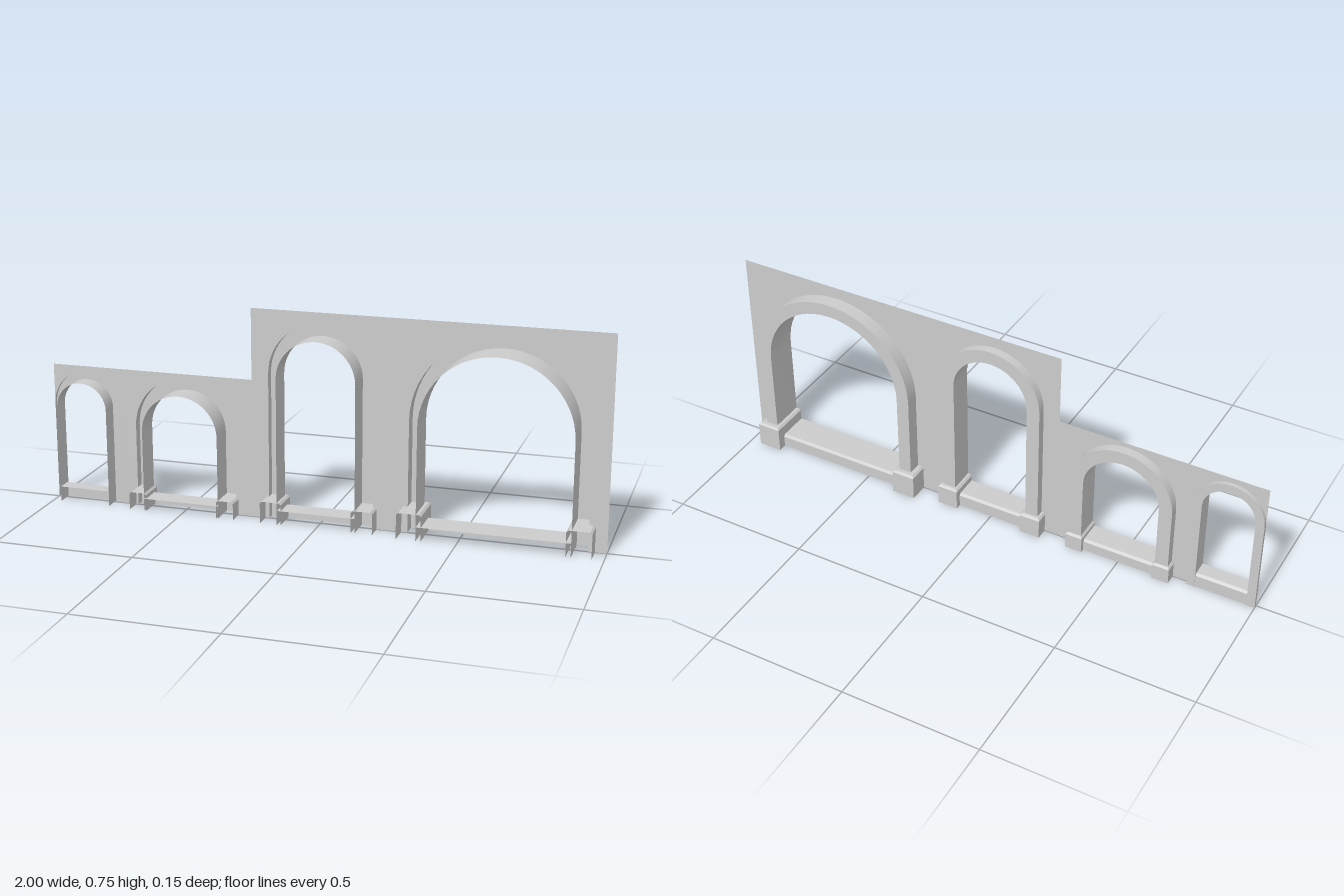
import * as THREE from 'three';
import { mergeVertices } from 'three/addons/utils/BufferGeometryUtils.js';

const stone = new THREE.MeshStandardMaterial({ color: 0xcccccc, side: THREE.DoubleSide });
stone.name = 'pale grey stone';

// Arches: centre x, spring height, opening and trim radii, trim depth, reveal front,
// sill height, and plinth (height, back depth, outer and inner overhang)
const ARCHES = [
  { x: -0.875, y: 0.355, r: 0.094, R: 0.125, back: 0.013, front: 0.05, sill: 0.055 },
  { x: -0.5, y: 0.295, r: 0.14, R: 0.188, back: 0.033, front: 0.06, sill: 0.045,
    plinth: { h: 0.065, back: 0.042, out: 0.008, inn: 0.007 } },
  { x: 0, y: 0.526, r: 0.141, R: 0.189, back: 0.031, front: 0.062, sill: 0.052,
    plinth: { h: 0.08, back: 0.046, out: 0.014, inn: 0.014 } },
  { x: 0.625, y: 0.4, r: 0.265, R: 0.312, back: 0.051, front: 0.075, sill: 0.05,
    plinth: { h: 0.095, back: 0.072, out: 0.022, inn: 0.018 } },
];

function mesh(geometry, name) {
  const m = new THREE.Mesh(geometry, stone);
  m.name = name;
  return m;
}

// Surface through rows of [x, y, z] points
function sheet(rows, smooth = false) {
  const pos = [];
  for (let i = 0; i < rows.length - 1; i++) {
    for (let j = 0; j < rows[i].length - 1; j++) {
      const a = rows[i][j], b = rows[i][j + 1], c = rows[i + 1][j + 1], d = rows[i + 1][j];
      pos.push(...a, ...b, ...c, ...a, ...c, ...d);
    }
  }
  let g = new THREE.BufferGeometry();
  g.setAttribute('position', new THREE.Float32BufferAttribute(pos, 3));
  if (smooth) g = mergeVertices(g, 1e-5);
  g.computeVertexNormals();
  return g;
}

// Arch outline from left foot to right foot
function archPoints(x, y, r, n = 28) {
  const pts = [new THREE.Vector2(x - r, 0)];
  for (let i = 0; i <= n; i++) {
    const t = Math.PI * (1 - i / n);
    pts.push(new THREE.Vector2(x + r * Math.cos(t), y + r * Math.sin(t)));
  }
  pts.push(new THREE.Vector2(x + r, 0));
  return pts;
}

function archRibbon(pts, z0, z1) {
  return sheet([z0, z1].map((z) => pts.map((p) => [p.x, p.y, z])), true);
}

// Open-fronted pier foot with a chamfered top
function plinth(a, side) {
  const { h, back, out, inn } = a.plinth;
  const c = 0.007;
  const xo = a.R + out, xi = a.r - inn;
  const row = (y, k) => [
    [xo - k, y, a.front], [xo - k, y, -back + k], [xi + k, y, -back + k], [xi + k, y, a.front],
  ].map(([x, yy, z]) => [a.x + side * x, yy, z]);
  const top = row(h, c);
  const g = new THREE.Group();
  g.name = side > 0 ? 'leftPlinth' : 'rightPlinth';
  g.add(mesh(sheet([row(0, 0), row(h - c, 0), top]), 'plinthSides'));
  g.add(mesh(sheet([[top[0], top[1]], [top[3], top[2]]]), 'plinthTop'));
  return g;
}

function arch(a) {
  const g = new THREE.Group();
  g.name = 'arch';
  const inner = archPoints(a.x, a.y, a.r);
  const outer = archPoints(a.x, a.y, a.R);

  // Trim face, its outer edge and the deep reveal
  const face = new THREE.ShapeGeometry(new THREE.Shape([...outer, ...inner.slice().reverse()]));
  face.rotateY(Math.PI);
  face.scale(-1, 1, 1);
  // mirrored twice in x: restore the winding so the face looks to the back
  const idx = face.index.array;
  for (let i = 0; i < idx.length; i += 3) [idx[i + 1], idx[i + 2]] = [idx[i + 2], idx[i + 1]];
  face.computeVertexNormals();
  face.translate(0, 0, -a.back);
  g.add(mesh(face, 'archTrimFace'));
  g.add(mesh(archRibbon(outer, 0, -a.back), 'archTrimEdge'));
  g.add(mesh(archRibbon(inner, -a.back, a.front), 'archReveal'));

  // Sill: upright back, small chamfer and flat top
  const zb = -a.back * 0.8, c = 0.008;
  const profile = [[zb, 0], [zb, a.sill - c], [zb + c, a.sill], [a.front, a.sill]];
  g.add(mesh(sheet([-1, 1].map((s) => profile.map(([z, y]) => [a.x + s * a.r, y, z]))), 'sill'));

  if (a.plinth) for (const s of [-1, 1]) g.add(plinth(a, s));
  return g;
}

// Thin stepped wall with the arches cut out of its lower edge
function wall() {
  const pts = [[1, 0], [1, 0.755], [-0.25, 0.755], [-0.25, 0.5], [-1, 0.5]]
    .map(([x, y]) => new THREE.Vector2(x, y));
  ARCHES.forEach((a, i) => {
    const p = archPoints(a.x, a.y, a.R);
    pts.push(...(i === 0 ? p.slice(1) : p)); // the first arch meets the wall's end
  });
  return mesh(new THREE.ShapeGeometry(new THREE.Shape(pts)), 'wall');
}

export function createModel() {
  const model = new THREE.Group();
  model.name = 'arcadeWall';
  model.add(wall());
  for (const a of ARCHES) model.add(arch(a));
  return model;
}
